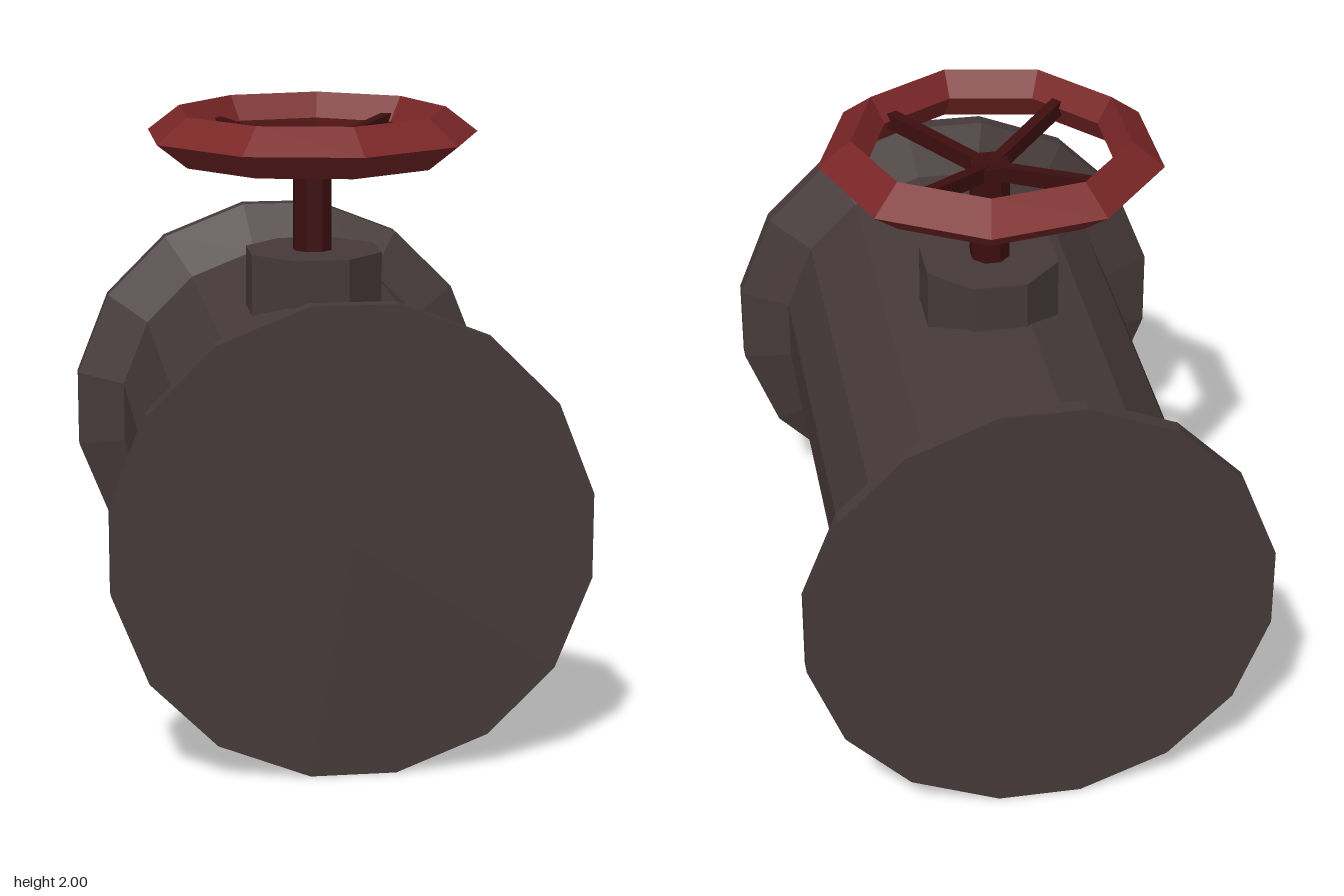
import * as THREE from 'three';

const paint = (name, color) => {
  const m = new THREE.MeshStandardMaterial({ color });
  m.name = name;
  return m;
};

// Hard-edged facets
function faceted(geometry) {
  const g = geometry.index ? geometry.toNonIndexed() : geometry;
  g.computeVertexNormals();
  return g;
}

const lathe = (profile, sides, start) =>
  new THREE.LatheGeometry(profile.map(([r, y]) => new THREE.Vector2(r, y)), sides, start);

export function createModel() {
  const iron = paint('dark iron', 0x463939);
  const red = paint('wheel red', 0x7a2626);
  const darkRed = paint('stem dark red', 0x3c0e0f);

  const model = new THREE.Group();
  model.name = 'pipeValve';
  const add = (name, geometry, material, parent = model) => {
    const mesh = new THREE.Mesh(faceted(geometry), material);
    mesh.name = name;
    parent.add(mesh);
    return mesh;
  };

  // Pipe with a flared, capped flange at each end
  const R = 0.777, r = 0.609;
  const pipe = lathe([
    [0, -0.983], [R, -0.983], [R, -0.93], [r, -0.86],
    [r, 0.86], [R, 0.93], [R, 0.983], [0, 0.983],
  ], 16, Math.PI / 16);
  pipe.rotateX(Math.PI / 2);
  // Narrow the four axis-facing facets slightly
  const p = pipe.attributes.position;
  for (let i = 0; i < p.count; i++) {
    const x = p.getX(i), y = p.getY(i);
    if (Math.abs(x) < 0.3 * Math.abs(y)) p.setX(i, x * 0.91);
    if (Math.abs(y) < 0.3 * Math.abs(x)) p.setY(i, y * 0.91);
  }
  pipe.translate(0, 0.765, 0);
  add('flangedPipe', pipe, iron);

  // Octagonal bonnet sunk into the pipe
  const bonnet = new THREE.CylinderGeometry(0.239, 0.239, 0.3, 8, 1, false, Math.PI / 8);
  bonnet.translate(0, 1.375, 0.004);
  add('bonnet', bonnet, iron);

  // Stem
  const stem = new THREE.CylinderGeometry(0.068, 0.068, 0.37, 8, 1, false, Math.PI / 8);
  stem.translate(-0.004, 1.69, 0.004);
  add('stem', stem, darkRed);

  // Nine-sided hand wheel with a diamond section
  const wheel = new THREE.Group();
  wheel.name = 'handWheel';
  wheel.position.set(-0.006, 1.915, -0.012);
  model.add(wheel);
  add('rim', lathe([
    [0.46, -0.085], [0.57, 0], [0.46, 0.085], [0.408, 0], [0.46, -0.085],
  ], 9, Math.PI / 2), red, wheel);

  // Four spokes rising from the stem to the rim
  const inner = 0.02, outer = 0.435, rise = 0.07;
  for (let i = 0; i < 4; i++) {
    const spoke = new THREE.BoxGeometry(outer - inner, 0.055, 0.038);
    spoke.translate((inner + outer) / 2, 0, 0);
    const q = spoke.attributes.position;
    for (let j = 0; j < q.count; j++) {
      q.setY(j, q.getY(j) - 0.068 + rise * (q.getX(j) - inner) / (outer - inner));
    }
    spoke.rotateY(Math.PI / 4 + i * Math.PI / 2);
    spoke.translate(0.002, 0, 0.012);
    add('spoke', spoke, darkRed, wheel);
  }
  return model;
}
